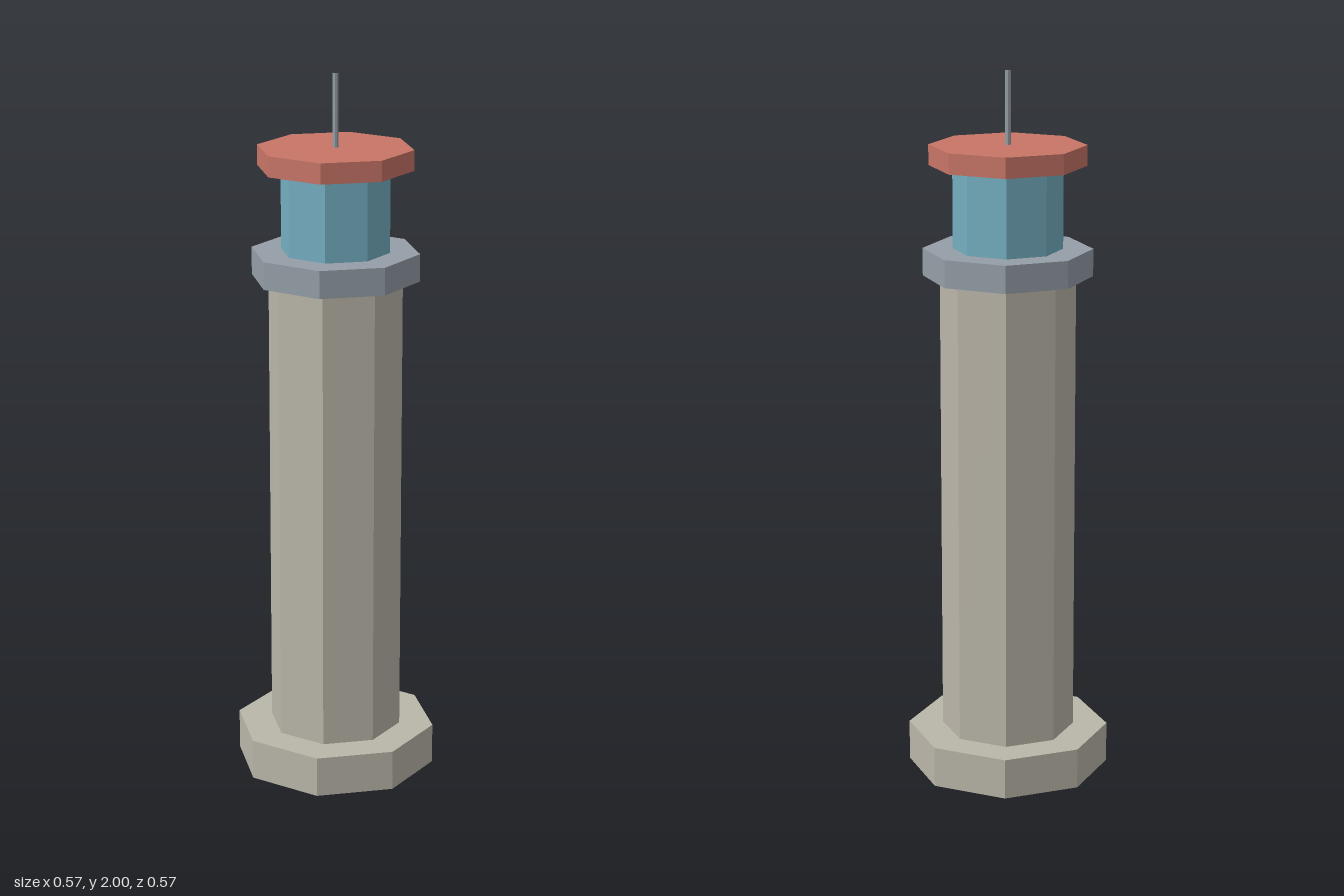
import * as THREE from 'three';

const paint = (name, color) => {
  const material = new THREE.MeshStandardMaterial({ color, flatShading: true });
  material.name = name;
  return material;
};

export function createModel() {
  const tower = new THREE.Group();
  tower.name = 'lighthouse';

  const stone = paint('stone', 0xbab6a9);
  const metal = paint('grey metal', 0x959fa8);
  const glass = paint('blue glass', 0x74afc2);
  const red = paint('roof red', 0xc87567);

  // Upright octagonal prism between two heights, corners on the x and z axes
  const prism = (name, radius, bottom, top, material, open = false) => {
    const geometry = new THREE.CylinderGeometry(radius, radius, top - bottom, 8, 1, open);
    const mesh = new THREE.Mesh(geometry, material);
    mesh.name = name;
    mesh.position.y = (bottom + top) / 2;
    tower.add(mesh);
  };

  prism('base', 0.285, 0, 0.115, stone);
  prism('shaft', 0.188, 0.115, 1.433, stone);
  prism('gallery', 0.235, 1.433, 1.51, metal);
  prism('lantern', 0.152, 1.51, 1.74, glass);
  prism('roof', 0.217, 1.74, 1.797, red);

  // Thin hollow mast
  prism('mast', 0.008, 1.797, 2, metal, true);

  return tower;
}
